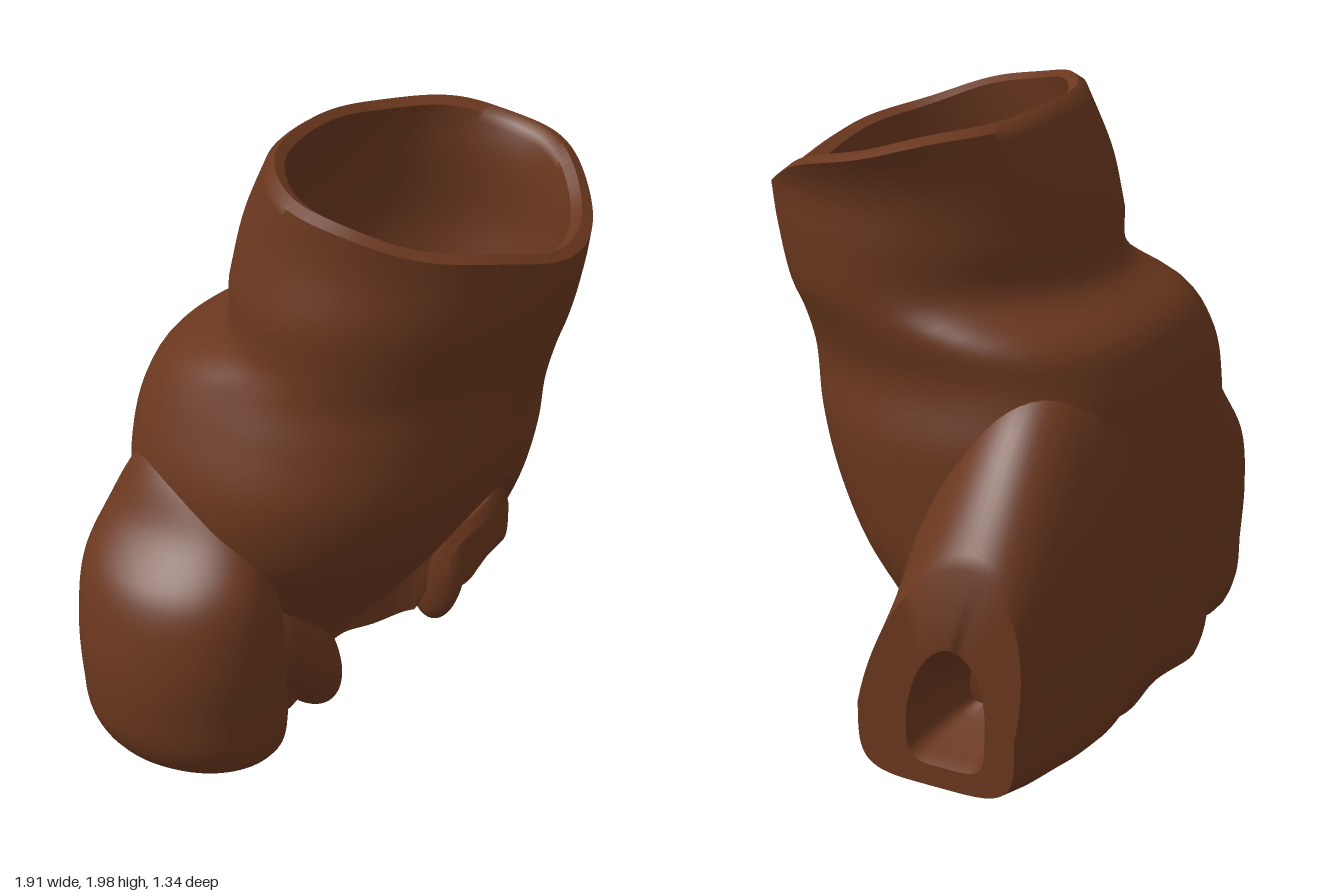
import * as THREE from 'three';
import { toCreasedNormals } from 'three/addons/utils/BufferGeometryUtils.js';

const material = new THREE.MeshStandardMaterial({ color: 0x6a371e, side: THREE.DoubleSide });
const TAU = Math.PI * 2;
const { lerp, clamp, smoothstep } = THREE.MathUtils;
const spow = (v, p) => Math.sign(v) * Math.abs(v) ** p;

// Skin between closed rings of equal point count; wrap joins the last ring to the first
function skin(name, rings, wrap = false) {
  const n = rings[0].length, index = [];
  for (let r = 0; r < rings.length - (wrap ? 0 : 1); r++) {
    const s = (r + 1) % rings.length;
    for (let i = 0; i < n; i++) {
      const j = (i + 1) % n;
      index.push(r * n + i, s * n + i, r * n + j, s * n + i, s * n + j, r * n + j);
    }
  }
  const geo = new THREE.BufferGeometry();
  geo.setAttribute('position', new THREE.Float32BufferAttribute(rings.flat(2), 3));
  geo.setIndex(index);
  const mesh = new THREE.Mesh(toCreasedNormals(geo, 0.9), material);
  mesh.name = name;
  return mesh;
}

const ring = (n, f) => Array.from({ length: n }, (_, i) => f((i / n) * TAU));

// Smooth lookup through rows of [key, ...values]
function smoothTable(rows) {
  const curve = new THREE.CubicInterpolant(rows.map(r => r[0]), rows.flatMap(r => r.slice(1)), rows[0].length - 1);
  return key => Array.from(curve.evaluate(key));
}

// Outer wall: y, xMin, xMax, zBack, zFront, squareness of the back
const outerAt = smoothTable([
  [0.0, -0.50, 0.50, -0.56, 0.04, 2.5],
  [0.08, -0.58, 0.60, -0.63, 0.11, 2.7],
  [0.4, -0.58, 0.68, -0.66, 0.22, 2.8],
  [0.6, -0.61, 0.72, -0.665, 0.37, 2.8],
  [0.8, -0.67, 0.73, -0.67, 0.48, 2.8],
  [1.0, -0.68, 0.73, -0.67, 0.54, 2.8],
  [1.2, -0.62, 0.70, -0.65, 0.57, 2.7],
  [1.33, -0.57, 0.72, -0.58, 0.59, 2.5],
  [1.42, -0.54, 0.73, -0.43, 0.61, 2.1],
  [1.6, -0.53, 0.74, -0.40, 0.65, 2],
  [1.78, -0.49, 0.75, -0.37, 0.67, 2],
  [2.0, -0.47, 0.87, -0.28, 0.69, 2],
]);
// Inner wall: y, xMin, xMax, zBack, zFront
const innerAt = smoothTable([
  [0.0, -0.36, 0.43, -0.12, 0.50],
  [0.4, -0.36, 0.43, -0.12, 0.50],
  [0.8, -0.40, 0.48, -0.14, 0.50],
  [1.2, -0.48, 0.60, -0.20, 0.50],
  [1.5, -0.46, 0.66, -0.30, 0.56],
  [1.8, -0.42, 0.68, -0.28, 0.60],
  [2.0, -0.40, 0.76, -0.22, 0.62],
]);

function outerPoint(y, t) {
  const [x0, x1, z0, z1, square] = outerAt(y);
  const p = Math.sin(t) > 0 ? 1 : 2 / square;
  return [
    (x0 + x1) / 2 + ((x1 - x0) / 2) * spow(Math.cos(t), p), y,
    (z0 + z1) / 2 + ((z1 - z0) / 2) * spow(Math.sin(t), p),
  ];
}

// Follows the outer wall sideways low at the front and always stays behind it
function innerPoint(y, t) {
  const [x0, x1, z0, z1] = innerAt(y), cx = (x0 + x1) / 2, a = (x1 - x0) / 2;
  let x = cx + a * Math.cos(t);
  if (Math.sin(t) > 0) x = lerp(clamp(outerPoint(y, t)[0], x0, x1), x, smoothstep(y, 0.9, 1.3));
  const half = Math.sqrt(Math.max(0, 1 - ((x - cx) / a) ** 2));
  const z = (z0 + z1) / 2 + ((z1 - z0) / 2) * half * Math.sign(Math.sin(t));
  const [ox0, ox1, oz0, oz1] = outerAt(y);
  const u = (2 * x - ox0 - ox1) / (ox1 - ox0);
  const limit = (oz0 + oz1) / 2 + ((oz1 - oz0) / 2) * Math.sqrt(Math.max(0, 1 - u * u)) - 0.06;
  return [x, y, Math.min(z, limit)];
}

// Uneven upper rim, dipping at the front
function rimHeight(t) {
  const s = Math.sin(t), c = Math.cos(t);
  return 1.895 - 0.03 * c - 0.1 * s - 0.03 * s * s
    - 0.07 * Math.max(0, Math.cos(t - 1.1)) ** 6 + 0.004 * Math.sin(7 * t);
}

// Lower edge: pointed arch at the front, slightly wavy along the back
function hemHeight(t) {
  const base = 0.08 + 0.012 * Math.sin(7 * t);
  if (Math.sin(t) <= 0) return base;
  const c = Math.cos(t) - 0.1;
  const u = c > 0 ? c / 0.42 : -c / 0.62;
  const arch = 0.45 + 0.47 * (1 - Math.min(u, 1) ** 2.2);
  return lerp(arch, base, smoothstep(u, 0.95, 1.3));
}

function buildBody() {
  const n = 192, rows = 64, rings = [];
  const edge = (height, lift) => ring(n, t => {
    const y = height(t), a = outerPoint(y, t), b = innerPoint(y, t);
    return [(a[0] + b[0]) / 2, y + lift, (a[2] + b[2]) / 2];
  });
  const rowHeight = (t, k) => lerp(hemHeight(t), rimHeight(t), k / rows);
  for (let k = 0; k <= rows; k++) {
    rings.push(ring(n, t => {
      const y = rowHeight(t, k), p = outerPoint(y, t);
      // Soft upright folds on the back, fading out upward
      const fold = Math.max(0, -Math.sin(t)) * Math.max(0, 1 - y / 1.3);
      p[2] += 0.018 * fold * Math.sin(p[0] * 13 + 2 * y);
      return p;
    }));
  }
  rings.push(edge(rimHeight, 0.02));
  for (let k = rows; k >= 0; k--) rings.push(ring(n, t => innerPoint(rowHeight(t, k), t)));
  rings.push(edge(hemHeight, -0.015));
  return skin('hollowBody', rings, true);
}

// Arched outline in the z-y plane, peak leaning to the back
function archRing(x, zBack, zFront, yLow, yTop, yMid, lean) {
  return ring(72, t => {
    const c = Math.cos(t), s = Math.sin(t), up = s > 0;
    return [x,
      up ? yMid + (yTop - yMid) * s : yMid - (yMid - yLow) * (-s) ** 0.45,
      (zBack + zFront) / 2 + ((zFront - zBack) / 2) * (up ? c : spow(c, 0.45)) - (up ? lean * s : 0)];
  });
}

// Left leg: cut flat at the side, with a deep opening in the cut face
function buildLeftLeg() {
  const at = smoothTable([
    [0.2, -0.58, -0.25, 0.09, 1.22],
    [0.34, -0.64, -0.14, 0.06, 1.27],
    [0.46, -0.65, 0.00, 0.03, 1.27],
    [0.55, -0.64, 0.04, 0.02, 1.23],
    [0.64, -0.63, 0.05, 0.02, 1.17],
    [0.72, -0.61, 0.03, 0.02, 1.09],
    [0.84, -0.58, 0.00, 0.02, 0.93],
    [0.95, -0.55, -0.01, 0.03, 0.76],
  ]);
  const rings = [archRing(0.2, -0.41, -0.39, 0.3, 0.32, 0.31, 0)];
  for (let k = 0; k <= 30; k++) {
    const x = 0.2 + (0.75 * k) / 30, [zb, zf, lo, hi] = at(x);
    rings.push(archRing(x, zb, zf, lo, hi, 0.25, 0.11));
  }
  rings.push(archRing(0.95, -0.45, -0.18, 0.10, 0.49, 0.24, 0.02));
  rings.push(archRing(0.90, -0.43, -0.19, 0.12, 0.45, 0.23, 0.02));
  rings.push(archRing(0.70, -0.39, -0.21, 0.14, 0.38, 0.22, 0.01));
  rings.push(archRing(0.58, -0.30, -0.29, 0.21, 0.22, 0.215, 0));
  return skin('leftLeg', rings);
}

// Right leg: rounded stump with a socket underneath
function buildRightLeg() {
  const oval = ([y, cx, cz, rx, rz]) => ring(72, t => [cx + rx * Math.cos(t), y, cz + rz * Math.sin(t)]);
  const socket = [
    [0.32, -0.62, -0.22, 0.005, 0.005],
    [0.28, -0.62, -0.22, 0.09, 0.11],
    [0.06, -0.61, -0.22, 0.13, 0.17],
    [0.01, -0.59, -0.22, 0.17, 0.21],
  ];
  const outside = smoothTable([
    [0.01, -0.59, -0.22, 0.21, 0.26],
    [0.04, -0.61, -0.22, 0.25, 0.31],
    [0.12, -0.64, -0.22, 0.285, 0.35],
    [0.3, -0.66, -0.22, 0.30, 0.36],
    [0.5, -0.665, -0.22, 0.285, 0.37],
    [0.7, -0.65, -0.23, 0.24, 0.35],
    [0.85, -0.60, -0.25, 0.155, 0.29],
    [1.0, -0.56, -0.27, 0.11, 0.20],
    [1.12, -0.53, -0.28, 0.05, 0.10],
  ]);
  const rings = socket.map(oval);
  for (let k = 0; k <= 40; k++) {
    const y = 0.01 + (1.11 * k) / 40;
    rings.push(oval([y, ...outside(y)]));
  }
  return skin('rightLeg', rings);
}

// Rounded fold where a leg meets the opening
function buildFold(name, position, scale, tilt) {
  const fold = new THREE.Mesh(new THREE.SphereGeometry(1, 40, 28), material);
  fold.name = name;
  fold.position.set(...position);
  fold.scale.set(...scale);
  fold.rotation.z = tilt;
  return fold;
}

export function createModel() {
  const model = new THREE.Group();
  model.name = 'hollowTorso';
  model.add(
    buildBody(), buildLeftLeg(), buildRightLeg(),
    buildFold('rightFold', [-0.37, 0.33, 0], [0.13, 0.34, 0.15], 0.5),
    buildFold('leftFold', [0.45, 0.27, 0.01], [0.08, 0.25, 0.12], -0.1),
  );
  return model;
}
